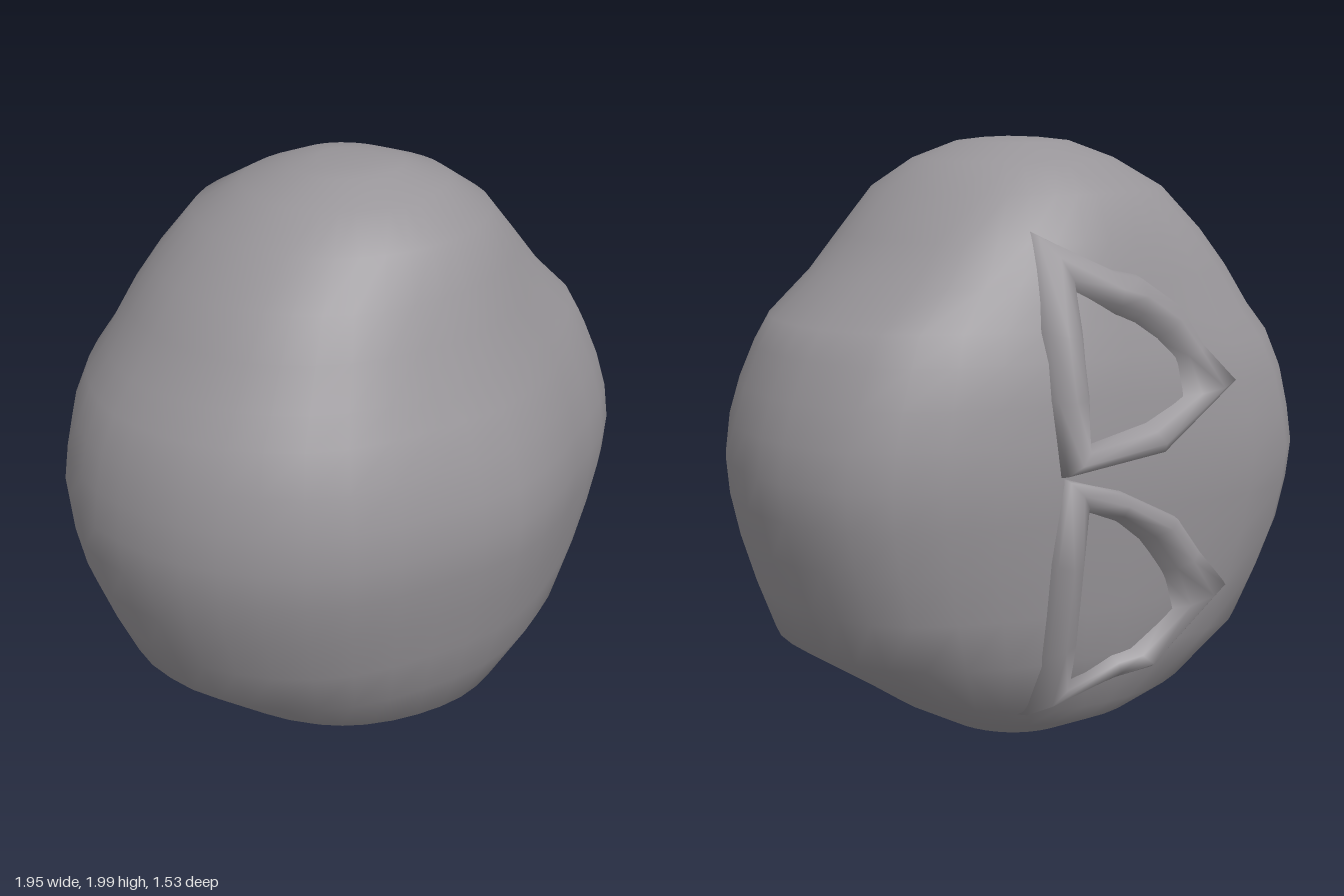
import * as THREE from 'three';
import { mergeVertices } from 'three/addons/utils/BufferGeometryUtils.js';

// Boulder levels: height, reach to +x, -x, +z, -z
const LEVELS = [
  [0.01, 0, 0, 0, 0], [0.015, 0.1, 0.13, 0.11, 0.13], [0.045, 0.23, 0.26, 0.24, 0.25],
  [0.15, 0.42, 0.45, 0.42, 0.47], [0.24, 0.55, 0.57, 0.54, 0.58], [0.42, 0.82, 0.8, 0.64, 0.64],
  [0.58, 0.88, 0.87, 0.69, 0.66], [0.74, 0.93, 0.93, 0.73, 0.68], [0.88, 0.96, 0.96, 0.76, 0.69],
  [1, 0.97, 0.97, 0.77, 0.7], [1.12, 0.955, 0.955, 0.755, 0.69], [1.24, 0.92, 0.93, 0.72, 0.68],
  [1.36, 0.87, 0.88, 0.67, 0.66], [1.45, 0.82, 0.81, 0.62, 0.63], [1.58, 0.67, 0.73, 0.57, 0.6],
  [1.7, 0.57, 0.64, 0.51, 0.56], [1.84, 0.45, 0.5, 0.44, 0.5], [1.93, 0.32, 0.35, 0.3, 0.34],
  [1.985, 0.17, 0.2, 0.17, 0.2], [1.995, 0.09, 0.11, 0.09, 0.11], [2, 0, 0, 0, 0],
];

// Faceted plan outline at mid height, as fractions of the reach, going from +x to +z
const OUTLINE = [
  [1, 0], [0.96, 0.27], [0.84, 0.56], [0.46, 0.81], [0.23, 0.94], [0, 1], [-0.28, 0.94],
  [-0.66, 0.79], [-0.84, 0.56], [-0.96, 0.27], [-1, 0], [-0.96, -0.41], [-0.83, -0.72],
  [-0.66, -0.95], [-0.25, -0.99], [0, -1], [0.4, -0.95], [0.84, -0.72], [0.96, -0.41], [1, 0],
].map(([x, z], i, all) => {
  const angle = Math.atan2(z, x);
  return { angle: i === all.length - 1 ? Math.PI * 2 : angle < 0 ? angle + Math.PI * 2 : angle, radius: Math.hypot(x, z) };
});

function outlineRadius(angle) {
  let i = 0;
  while (i < OUTLINE.length - 2 && OUTLINE[i + 1].angle < angle) i++;
  const a = OUTLINE[i], b = OUTLINE[i + 1];
  return a.radius + (b.radius - a.radius) * (angle - a.angle) / (b.angle - a.angle);
}

// Smooth surface from rows of points whose ends join
function skin(rows) {
  const cols = rows[0].length, index = [];
  for (let r = 0; r < rows.length - 1; r++) {
    for (let c = 0; c < cols; c++) {
      const next = (c + 1) % cols;
      const p = r * cols + c, q = p + cols, t = r * cols + next, s = t + cols;
      index.push(p, q, t, q, s, t);
    }
  }
  let g = new THREE.BufferGeometry();
  g.setAttribute('position', new THREE.Float32BufferAttribute(rows.flat(2), 3));
  g.setIndex(index);
  g = mergeVertices(g);
  g.computeVertexNormals();
  return g;
}

// The outline fades to a plain oval towards the top and bottom
function boulderGeometry() {
  const sides = 40;
  return skin(LEVELS.map(([y, px, nx, pz, nz]) => {
    const fade = 1 - Math.min(1, (Math.abs(y - 1) / 0.85) ** 2);
    return Array.from({ length: sides }, (_, i) => {
      const a = (i / sides) * Math.PI * 2;
      const r = 1 + (outlineRadius(a) - 1) * fade;
      const c = Math.cos(a) * r, s = Math.sin(a) * r;
      return [c * (c >= 0 ? px : nx), y, s * (s >= 0 ? pz : nz)];
    });
  }));
}

// Raised frame hugging the back; each corner is outer x, y, inner x, y
function frameGeometry(corners, boulder) {
  const ray = new THREE.Raycaster();
  const origin = new THREE.Vector3(), forward = new THREE.Vector3(0, 0, 1);
  const backZ = (x, y) => {
    ray.set(origin.set(x, y, -3), forward);
    return ray.intersectObject(boulder)[0].point.z;
  };
  const section = [[0, -0.01], [0.08, 0.035], [0.4, 0.07], [0.75, 0.045], [1, -0.01]];
  return skin(section.map(([t, lift]) => corners.map(([ox, oy, ix, iy]) => {
    const x = ox + (ix - ox) * t, y = oy + (iy - oy) * t;
    return [x, y, backZ(x, y) - lift * (1 - 0.7 * Math.abs(x + 0.1))];
  })));
}

const UPPER = [
  [0.245, 1.74, 0.14, 1.55], [0.01, 1.62, 0.02, 1.48], [-0.08, 1.6, -0.05, 1.45],
  [-0.23, 1.5, -0.12, 1.4], [-0.29, 1.38, -0.18, 1.34], [-0.42, 1.26, -0.19, 1.22],
  [-0.1, 1.06, -0.05, 1.16], [0.26, 1.02, 0.15, 1.12], [0.28, 1.25, 0.145, 1.25],
  [0.28, 1.45, 0.14, 1.42],
];
const LOWER = [
  [0.25, 1.02, 0.16, 0.9], [0.05, 0.96, 0.06, 0.86], [-0.17, 0.85, -0.03, 0.79],
  [-0.27, 0.73, -0.13, 0.67], [-0.42, 0.59, -0.19, 0.53], [-0.13, 0.35, -0.04, 0.43],
  [0.02, 0.34, 0.03, 0.42], [0.28, 0.22, 0.155, 0.36], [0.28, 0.45, 0.16, 0.5], [0.28, 0.75, 0.16, 0.72],
];

export function createModel() {
  const stone = new THREE.MeshStandardMaterial({ color: 0x989599 });
  stone.name = 'stone';
  const model = new THREE.Group();
  model.name = 'carvedBoulder';
  const add = (name, geometry) => {
    const mesh = new THREE.Mesh(geometry, stone);
    mesh.name = name;
    model.add(mesh);
    return mesh;
  };
  const boulder = add('boulder', boulderGeometry());
  add('upperRaisedFrame', frameGeometry(UPPER, boulder));
  add('lowerRaisedFrame', frameGeometry(LOWER, boulder));
  return model;
}
